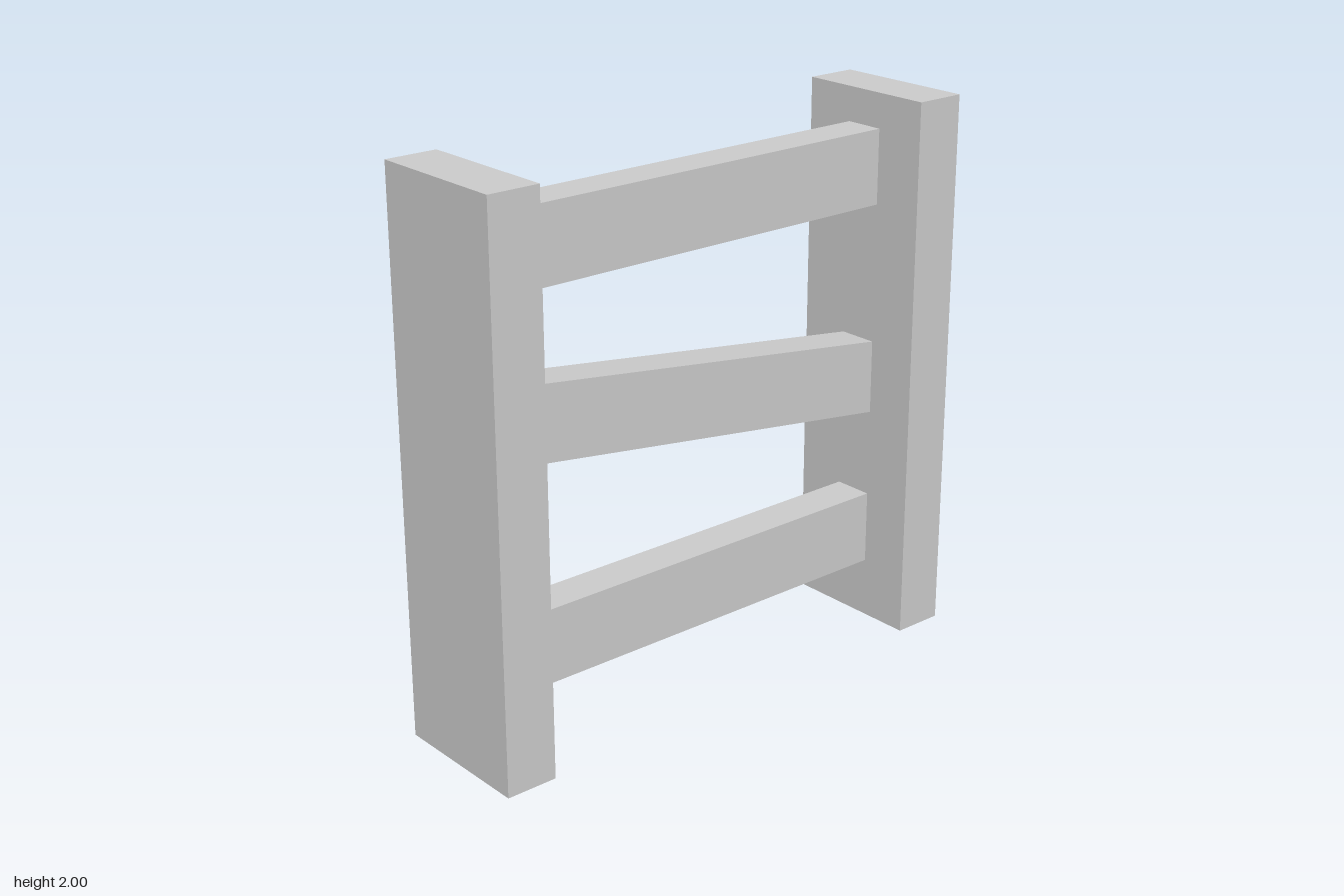
import * as THREE from 'three';

const OUTER = 0.995, INNER = 0.805; // z extent of each post

export function createModel() {
  const model = new THREE.Group();
  const material = new THREE.MeshStandardMaterial({ color: 0xcccccc, flatShading: true });

  // Wide upright planks at the front and back
  for (const [name, side] of [['frontPost', 1], ['backPost', -1]]) {
    const post = new THREE.Mesh(new THREE.BoxGeometry(0.534, 2, OUTER - INNER), material);
    post.name = name;
    post.position.set(0, 1, side * (OUTER + INNER) / 2);
    model.add(post);
  }

  // Rails between the posts, sheared so that their ends stay flush with the planks
  const addRail = (name, frontY, backY) => {
    const geometry = new THREE.BoxGeometry(0.148, 0.272, 2 * INNER);
    const slope = (frontY - backY) / (2 * INNER);
    const p = geometry.attributes.position;
    for (let i = 0; i < p.count; i++) p.setY(i, p.getY(i) + slope * p.getZ(i));
    geometry.computeVertexNormals();
    const rail = new THREE.Mesh(geometry, material);
    rail.name = name;
    rail.position.y = (frontY + backY) / 2;
    model.add(rail);
  };
  addRail('topRail', 1.738, 1.738);
  addRail('slantedRail', 1.169, 0.955);
  addRail('bottomRail', 0.358, 0.358);

  return model;
}
